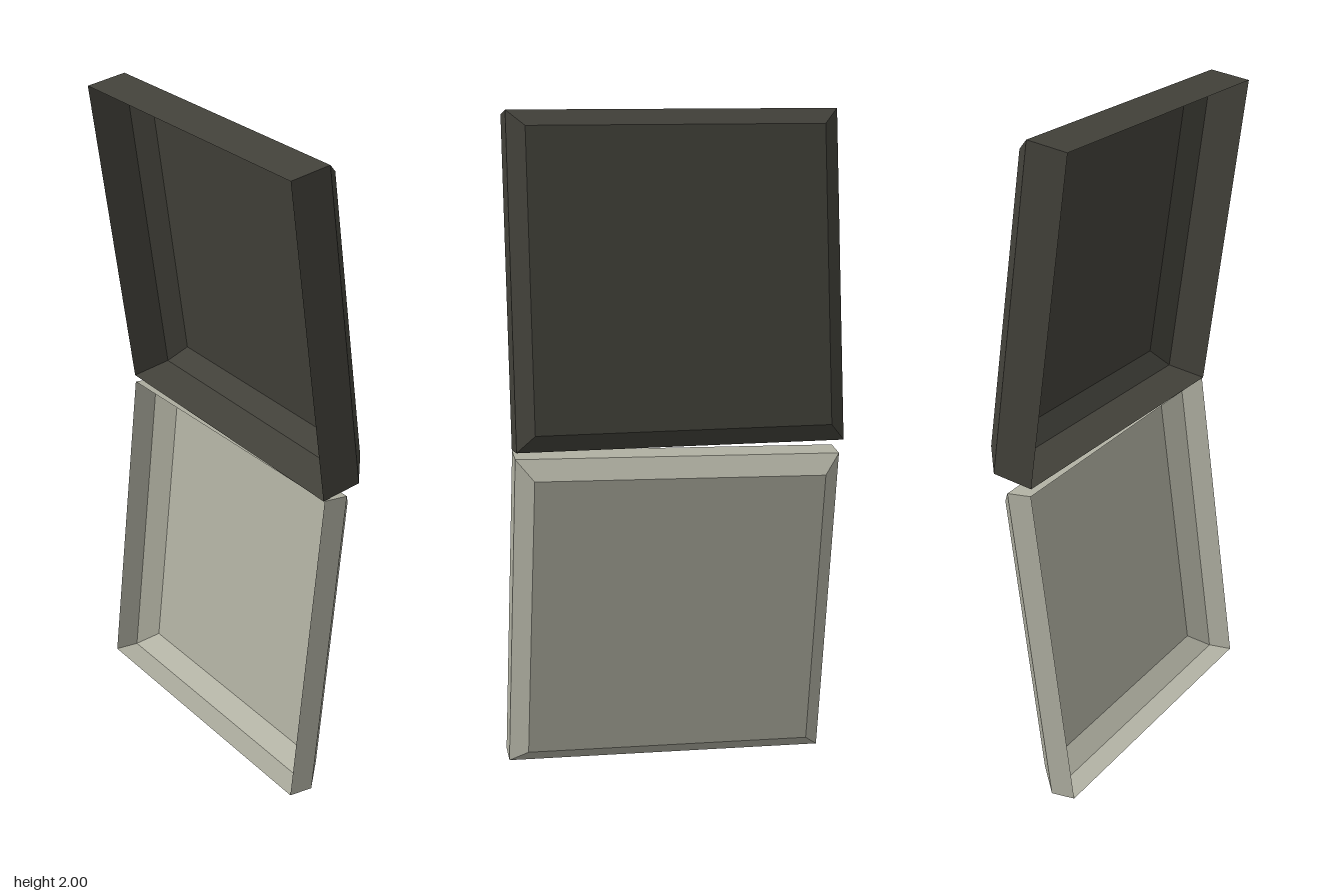
import * as THREE from 'three';

// Open square tray: rim in the local x = 0 plane, straight walls, bevel, closed panel facing +x
function trayGeometry(size, depth, bevel) {
  const h = size / 2;
  const rings = [[0, h], [depth, h], [depth + bevel, h - bevel]].map(([x, r]) =>
    [[-1, -1], [1, -1], [1, 1], [-1, 1]].map(([y, z]) => [x, y * r, z * r]));
  const pos = [];
  const quad = (a, b, c, d) => pos.push(...a, ...b, ...c, ...a, ...c, ...d);
  for (let i = 0; i < 2; i++) {
    for (let j = 0; j < 4; j++) {
      const k = (j + 1) % 4;
      quad(rings[i][j], rings[i][k], rings[i + 1][k], rings[i + 1][j]);
    }
  }
  quad(...rings[2]);
  const g = new THREE.BufferGeometry();
  g.setAttribute('position', new THREE.Float32BufferAttribute(pos, 3));
  g.computeVertexNormals();
  return g;
}

function material(name, color) {
  const m = new THREE.MeshStandardMaterial({ color, side: THREE.DoubleSide, flatShading: true });
  m.name = name;
  return m;
}

export function createModel() {
  const group = new THREE.Group();
  group.name = 'hingedShells';

  const addTray = (name, geometry, mat, position, twist, tilt) => {
    const mesh = new THREE.Mesh(geometry, mat);
    mesh.name = name;
    mesh.position.set(...position);
    mesh.rotation.set(twist, 0, tilt, 'ZYX');
    group.add(mesh);
  };

  // Deep dark shell, leaning back above
  addTray('upperShell', trayGeometry(0.983, 0.127, 0.05), material('darkOlive', 0x42413a),
    [-0.0875, 1.496, -0.01], 0, 0.137);
  // Shallower pale shell, leaning the other way and slightly twisted
  addTray('lowerShell', trayGeometry(0.983, 0.08, 0.052), material('paleStone', 0xb0b0a2),
    [-0.076, 0.509, 0.001], -0.0225, -0.12);

  return group;
}
